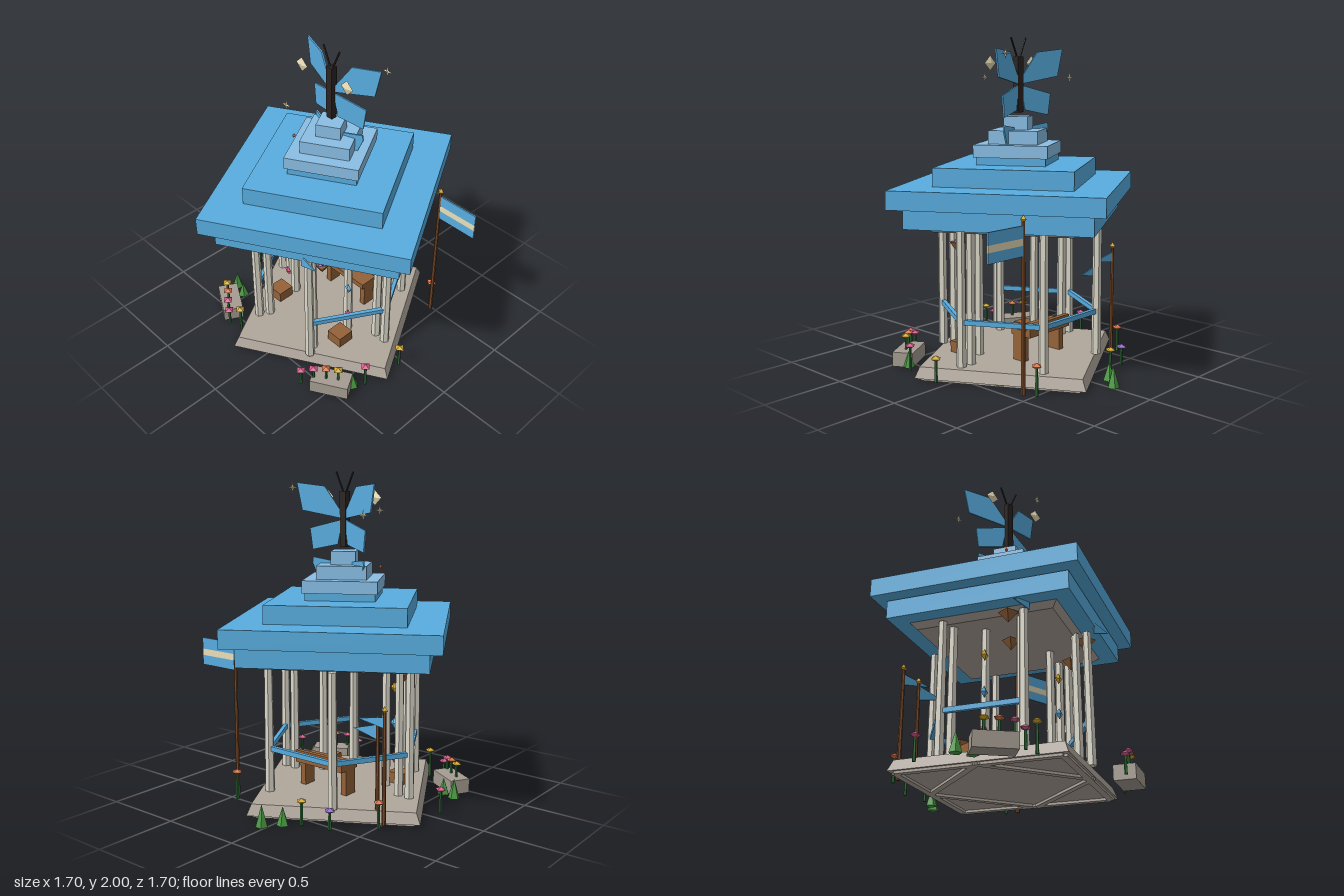
import * as THREE from 'three';

const C = {
  blue: 0x58ade0, pale: 0x8abfe6, stone: 0xb0a69c, column: 0xdcd8ca, wood: 0x946238, pole: 0x7a4a28,
  dark: 0x2a2523, cream: 0xeadfb8, gold: 0xd9ae35, green: 0x4c9a45, stem: 0x2f7038,
  pink: 0xd9608f, orange: 0xe07a50, purple: 0x9a6fd0, sky: 0x6ab4e0, planter: 0xa59d92,
};
const mats = {};
const mat = (c) => (mats[c] ??= new THREE.MeshStandardMaterial({
  color: C[c], flatShading: true, side: THREE.DoubleSide }));
const TURN = THREE.MathUtils.degToRad(75); // corner direction of the square roof and floor

export function createModel() {
  const root = new THREE.Group();
  const add = (name, geo, color, x, y, z, ry = 0) => {
    const m = new THREE.Mesh(geo, mat(color));
    m.name = name;
    m.position.set(x, y, z);
    m.rotation.y = ry;
    root.add(m);
    return m;
  };
  const box = (name, color, w, h, d, x, y, z, ry = 0) =>
    add(name, new THREE.BoxGeometry(w, h, d), color, x, y, z, ry);
  const cyl = (name, color, rTop, rBottom, y0, y1, sides, x = 0, z = 0, ry = 0) =>
    add(name, new THREE.CylinderGeometry(rTop, rBottom, y1 - y0, sides), color, x, (y0 + y1) / 2, z, ry);
  const gem = (name, color, rx, ry, rz, x, y, z) => {
    const m = add(name, new THREE.OctahedronGeometry(1), color, x, y, z);
    m.scale.set(rx, ry, rz);
    return m;
  };
  const plate = (name, color, pts, depth, x, y, z, ry = 0) => {
    const shape = new THREE.Shape(pts.map(([a, b]) => new THREE.Vector2(a, b)));
    const geo = new THREE.ExtrudeGeometry(shape, { depth, bevelEnabled: false });
    geo.translate(0, 0, -depth / 2);
    return add(name, geo, color, x, y, z, ry);
  };

  // Floor slab with square frames beneath
  cyl('floor', 'stone', 0.685, 0.72, 0.015, 0.08, 4, 0, 0, TURN);
  for (const [r, turn] of [[0.67, 0], [0.49, Math.PI / 4]])
    for (let i = 0; i < 4; i++) {
      const a = TURN + Math.PI / 4 + turn + i * Math.PI / 2, d = r / Math.SQRT2;
      box('floorFrame', 'stone', r * Math.SQRT2, 0.02, 0.04, Math.sin(a) * d, 0.01, Math.cos(a) * d, a);
    }

  // Ceiling and stepped roof: color, radius, bottom, top
  cyl('ceiling', 'stone', 0.635, 0.585, 0.875, 0.912, 4, 0, 0, TURN);
  const tiers = [
    ['blue', 0.776, 0.91, 1.02], ['blue', 0.7, 1.02, 1.03], ['blue', 0.88, 1.03, 1.14],
    ['blue', 0.585, 1.14, 1.25], ['blue', 0.295, 1.25, 1.295], ['pale', 0.316, 1.295, 1.37],
    ['pale', 0.212, 1.37, 1.45], ['pale', 0.105, 1.45, 1.53],
  ];
  for (const [c, r, y0, y1] of tiers) cyl('roofTier', c, r, r, y0, y1, 4, 0, 0, TURN);

  // Hexagon of columns, with railings on every side but the front
  const hex = (i) => [Math.cos(i * Math.PI / 3) * 0.49, Math.sin(i * Math.PI / 3) * 0.49];
  const column = (x, z) => cyl('column', 'column', 0.026, 0.03, 0.08, 0.89, 6, x, z, Math.PI / 6);
  for (let i = 0; i < 6; i++) {
    const [x, z] = hex(i), [x2, z2] = hex(i + 1);
    column(x, z);
    if (i !== 1)
      box('railing', 'blue', 0.48, 0.03, 0.025, (x + x2) / 2, 0.35, (z + z2) / 2, -Math.atan2(z2 - z, x2 - x));
  }
  for (const s of [-1, 1]) {
    column(s * 0.413, 0);
    column(s * 0.21, 0.362);
    column(s * 0.25, 0.095);
  }

  // Bench and stools
  box('benchSeat', 'wood', 0.36, 0.037, 0.15, 0, 0.253, -0.185);
  box('benchBack', 'wood', 0.36, 0.04, 0.03, 0, 0.29, -0.245);
  for (const s of [-1, 1]) {
    box('benchLeg', 'wood', 0.04, 0.16, 0.085, s * 0.16, 0.158, -0.172);
    box('stool', 'wood', 0.11, 0.07, 0.11, s * 0.285, 0.115, 0.2);
  }

  // Winged finial
  box('finialBody', 'dark', 0.045, 0.33, 0.04, 0, 1.717, 0);
  const upper = [[0.01, 1.72], [0.27, 1.765], [0.305, 1.93], [0.125, 1.91], [0.01, 1.75]];
  const lower = [[0.01, 1.715], [0.22, 1.66], [0.203, 1.53], [0.04, 1.565]];
  const tail = [[0.04, 1.38], [0.17, 1.37], [0.205, 1.45], [0.2, 1.485], [0.04, 1.46]];
  for (const s of [-1, 1]) {
    const side = (pts) => pts.map(([x, y]) => [s * x, y]);
    for (const w of [upper, lower, tail]) plate('wing', 'blue', side(w), 0.01, 0, 0, -0.005, s * 0.3);
    const antenna = cyl('antenna', 'dark', 0.006, 0.006, 1.87, 2.0, 5, s * 0.037, 0);
    antenna.rotation.z = -s * 0.42;
    gem('wingGem', 'cream', 0.047, 0.045, 0.013, s * 0.18, 1.845, 0.058);
  }
  gem('roofGem', 'orange', 0.012, 0.015, 0.012, -0.15, 1.425, 0.16);
  for (const [x, y, z] of [[-0.27, 1.755, -0.175], [0.275, 1.9, -0.158], [-0.03, 1.755, 0.313]]) {
    gem('sparkle', 'cream', 0.01, 0.035, 0.01, x, y, z);
    gem('sparkle', 'cream', 0.035, 0.01, 0.01, x, y, z);
  }

  // Flag and pennant poles
  const pole = (x, z, top) => {
    cyl('pole', 'pole', 0.01, 0.013, 0.02, top, 6, x, z);
    gem('poleTip', 'gold', 0.022, 0.025, 0.022, x, top, z);
  };
  pole(0.47, -0.475, 1.015);
  for (const [c, y0, y1] of [['blue', 0.81, 0.87], ['cream', 0.87, 0.91], ['blue', 0.91, 0.98]])
    box('flag', c, 0.275, y1 - y0, 0.01, 0.61, (y0 + y1) / 2, -0.475);
  pole(-0.535, -0.32, 0.695);
  pole(-0.455, -0.275, 0.615);
  plate('pennant', 'blue', [[0, 0.59], [0.19, 0.62], [0, 0.655]], 0.008, -0.535, 0, -0.32);
  plate('pennant', 'blue', [[0, 0.5], [0.17, 0.54], [0, 0.59]], 0.008, -0.455, 0, -0.275);

  // Hanging baskets, crystal strings, eave pennants and planters
  for (const s of [-1, 1]) {
    for (const [x, y, z, r] of [[0.3, 0.85, 0.36, 0.06], [0.23, 0.72, 0.3, 0.052]]) {
      cyl('hangingBasket', 'wood', r, 0.003, y - 0.03, y + 0.03, 4, s * x, z, Math.PI / 4);
      gem('basketFlower', 'purple', 0.032, 0.018, 0.032, s * x, y + 0.033, z);
    }
    [['gold', 0.7], ['sky', 0.475], ['pink', 0.255]].forEach(([c, y]) =>
      gem('crystal', c, 0.028, 0.035, 0.014, s * 0.285, y, 0.13));
    plate('eavePennant', 'blue', [[s * 0.25, 0.865], [s * 0.365, 0.9], [s * 0.25, 0.94]], 0.008, 0, 0, 0.48);
    box('planter', 'planter', 0.24, 0.09, 0.13, s * 0.49, 0.05, 0.475, s * Math.PI / 6);
  }

  // Flowers: color, x, head height, z
  const flowers = [
    ['gold', -0.54, 0.18, 0.455], ['orange', -0.475, 0.18, 0.5], ['pink', -0.415, 0.17, 0.55],
    ['gold', 0.53, 0.18, 0.455], ['orange', 0.47, 0.18, 0.5], ['pink', 0.41, 0.17, 0.55],
    ['pink', 0.34, 0.13, 0.59], ['pink', -0.37, 0.13, 0.58], ['pink', -0.68, 0.16, 0.05],
    ['gold', 0.655, 0.16, 0.04], ['pink', 0.62, 0.17, 0.31], ['orange', 0.42, 0.19, -0.53],
    ['purple', -0.33, 0.13, -0.555], ['orange', -0.535, 0.17, -0.37], ['gold', -0.16, 0.16, -0.6],
    ['gold', -0.275, 0.19, 0.56],
  ];
  for (const [c, x, y, z] of flowers) {
    cyl('flowerStem', 'stem', 0.008, 0.01, 0.015, y, 5, x, z);
    gem('flowerHead', c, 0.035, 0.018, 0.035, x, y, z);
  }

  // Pointed shrubs
  for (const [x, z, h] of [[-0.61, 0.315, 0.12], [-0.52, 0.34, 0.1], [0.01, -0.75, 0.13],
    [-0.07, -0.66, 0.11], [0.575, 0.375, 0.1]])
    cyl('shrub', 'green', 0.001, 0.037, 0.012, h + 0.012, 5, x, z, x * 3);

  return root;
}
